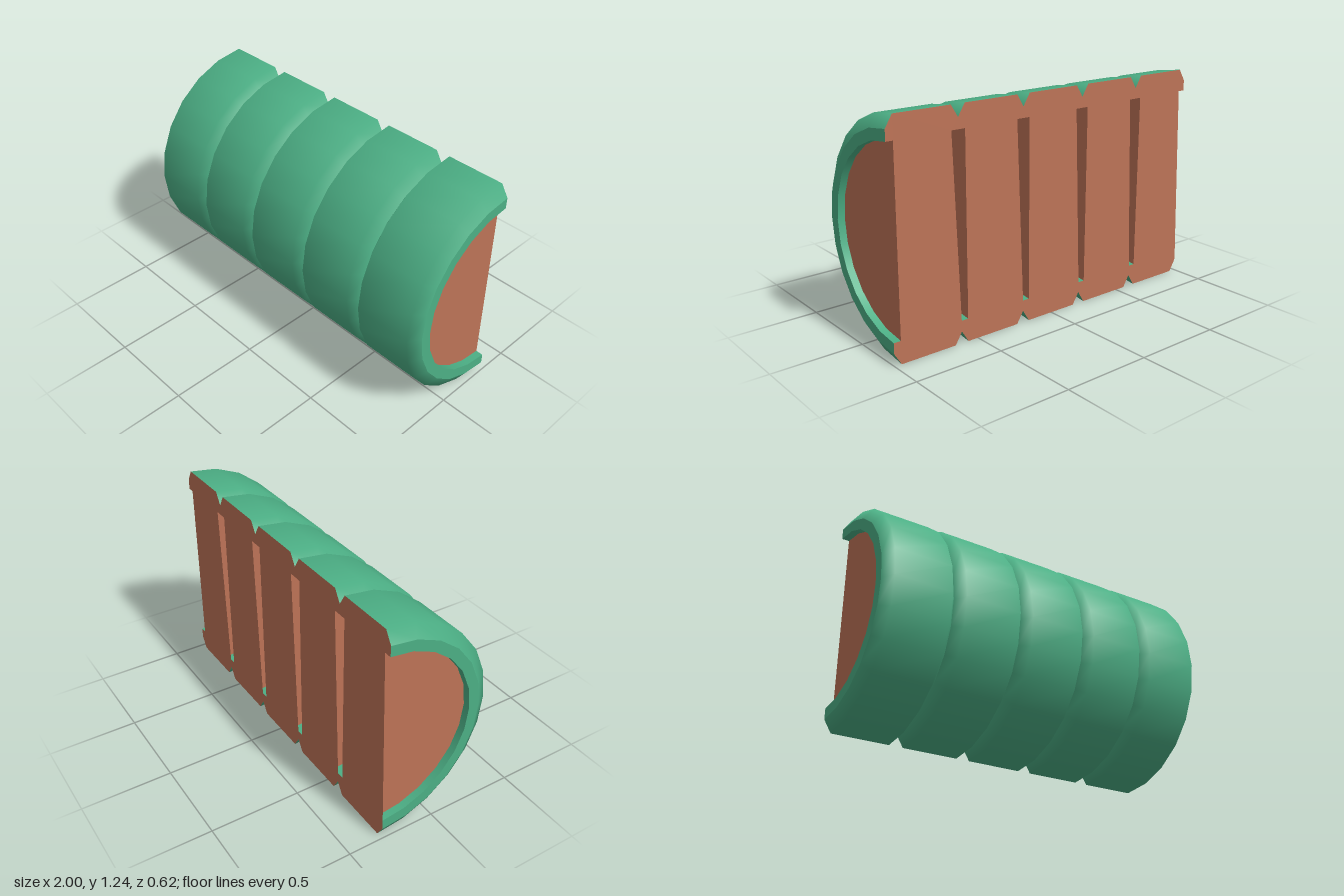
import * as THREE from 'three';

const R = 0.618, RIM = 0.553, DISH = 0.494; // outer, chamfer and recess radii
const HALF = 0.2, INNER = 0.16;             // half width of a segment, and inside its chamfers
const CENTRE_Y = 0.62, BACK_Z = -0.309, PITCH = 0.4;

const green = new THREE.MeshStandardMaterial({ color: 0x4caf85 });
green.name = 'green shell';
const brown = new THREE.MeshStandardMaterial({ color: 0xbd7357 });
brown.name = 'brown core';

// Sweeps a profile of [radius, x] points half a turn about the x axis, on the +z side.
function halfTurn(points) {
  const profile = points.map(([r, x]) => new THREE.Vector2(r, x));
  return new THREE.LatheGeometry(profile, 12, -Math.PI / 2, Math.PI).rotateZ(-Math.PI / 2);
}

// Cut face of one segment, facing back, with a notch where each recess meets it.
function cutFace() {
  const top = [[-HALF, DISH], [-HALF, RIM], [-INNER, R], [INNER, R], [HALF, RIM], [HALF, DISH], [INNER, DISH]];
  const outline = [[-INNER, DISH], ...top, ...top.map(([x, y]) => [-x, -y]), [-INNER, DISH]]
    .slice(0, -1)
    .map(([x, y]) => new THREE.Vector2(x, y));
  // Walk: upper edge left to right, then the mirrored lower edge right to left
  const seen = outline.filter((p, i) => i === 0 || !p.equals(outline[i - 1]));
  const last = seen[seen.length - 1];
  if (last.equals(seen[0])) seen.pop();
  return new THREE.ShapeGeometry(new THREE.Shape(seen)).rotateY(Math.PI);
}

export function createModel() {
  const model = new THREE.Group();
  model.name = 'ribbedHalfCylinder';

  const parts = [
    ['outerBand', green, halfTurn([[RIM, -HALF], [R, -INNER], [R, INNER], [RIM, HALF]])],
    ['cutFace', brown, cutFace()],
  ];
  // Flat rim, recess wall and recessed disc at both ends
  const ends = [
    ['rim', green, [[RIM, HALF], [DISH, HALF]]],
    ['recessWall', green, [[DISH, HALF], [DISH, INNER]]],
    ['disc', brown, [[DISH, INNER], [0, INNER]]],
  ];
  for (const [name, material, points] of ends) {
    const mirrored = points.map(([r, x]) => [r, -x]).reverse();
    parts.push([name + 'Left', material, halfTurn(points)]);
    parts.push([name + 'Right', material, halfTurn(mirrored)]);
  }

  // Five equal segments side by side
  for (let i = 0; i < 5; i++) {
    const segment = new THREE.Group();
    segment.name = 'segment' + (i + 1);
    for (const [name, material, geometry] of parts) {
      const mesh = new THREE.Mesh(geometry, material);
      mesh.name = name;
      segment.add(mesh);
    }
    segment.position.set((i - 2) * PITCH, CENTRE_Y, BACK_Z);
    model.add(segment);
  }
  return model;
}
